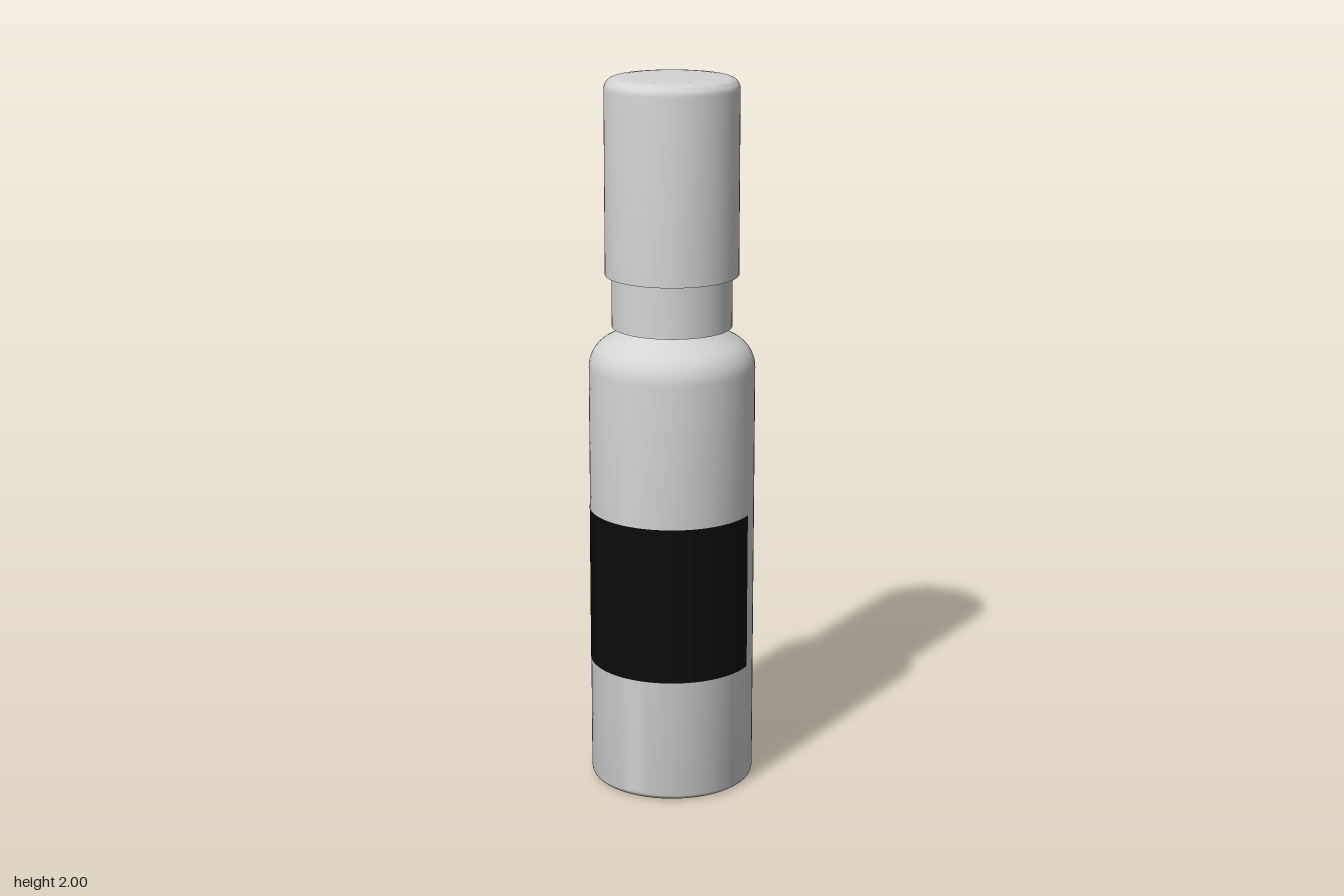
import * as THREE from 'three';
import { toCreasedNormals } from 'three/addons/utils/BufferGeometryUtils.js';

const SEGMENTS = 72;

// Points of a quarter round, from angle a0 to a1 in degrees
function arc(cx, cy, r, a0, a1, steps = 6) {
  return Array.from({ length: steps + 1 }, (_, i) => {
    const a = THREE.MathUtils.degToRad(a0 + (a1 - a0) * i / steps);
    return [cx + r * Math.cos(a), cy + r * Math.sin(a)];
  });
}

// Turned part with crisp edges where the profile bends sharply
function turned(name, profile, material) {
  const points = profile.map(([r, y]) => new THREE.Vector2(r, y));
  const geometry = toCreasedNormals(new THREE.LatheGeometry(points, SEGMENTS), 0.6);
  const mesh = new THREE.Mesh(geometry, material);
  mesh.name = name;
  return mesh;
}

export function createModel() {
  const shell = new THREE.MeshStandardMaterial({ name: 'light grey', color: 0xd4d4d4 });
  const black = new THREE.MeshStandardMaterial({ name: 'label black', color: 0x0b0b0b, side: THREE.DoubleSide });

  const model = new THREE.Group();
  model.name = 'bottle';

  // Body with rounded base, round shoulder and sloping neck
  model.add(turned('body', [
    [0, 0],
    ...arc(0.21, 0.02, 0.02, -90, 0),
    ...arc(0.14, 1.2, 0.09, 0, 58, 8),
    [0.125, 1.31], [0.12, 1.325], [0, 1.325],
  ], shell));

  // Collar below the cap
  model.add(turned('collar', [[0, 1.315], [0.166, 1.315], [0.166, 1.47], [0, 1.47]], shell));

  // Cap with a rounded top edge
  model.add(turned('cap', [
    [0, 1.46], [0.184, 1.46],
    ...arc(0.154, 1.968, 0.03, 0, 90),
    [0.135, 2], [0, 2],
  ], shell));

  // Label wrapped around the front half
  const reach = THREE.MathUtils.degToRad(93.5);
  const label = new THREE.Mesh(
    new THREE.CylinderGeometry(0.231, 0.231, 0.445, 48, 1, true, -reach, 2 * reach), black);
  label.name = 'label';
  label.position.y = 0.575;
  model.add(label);

  return model;
}
